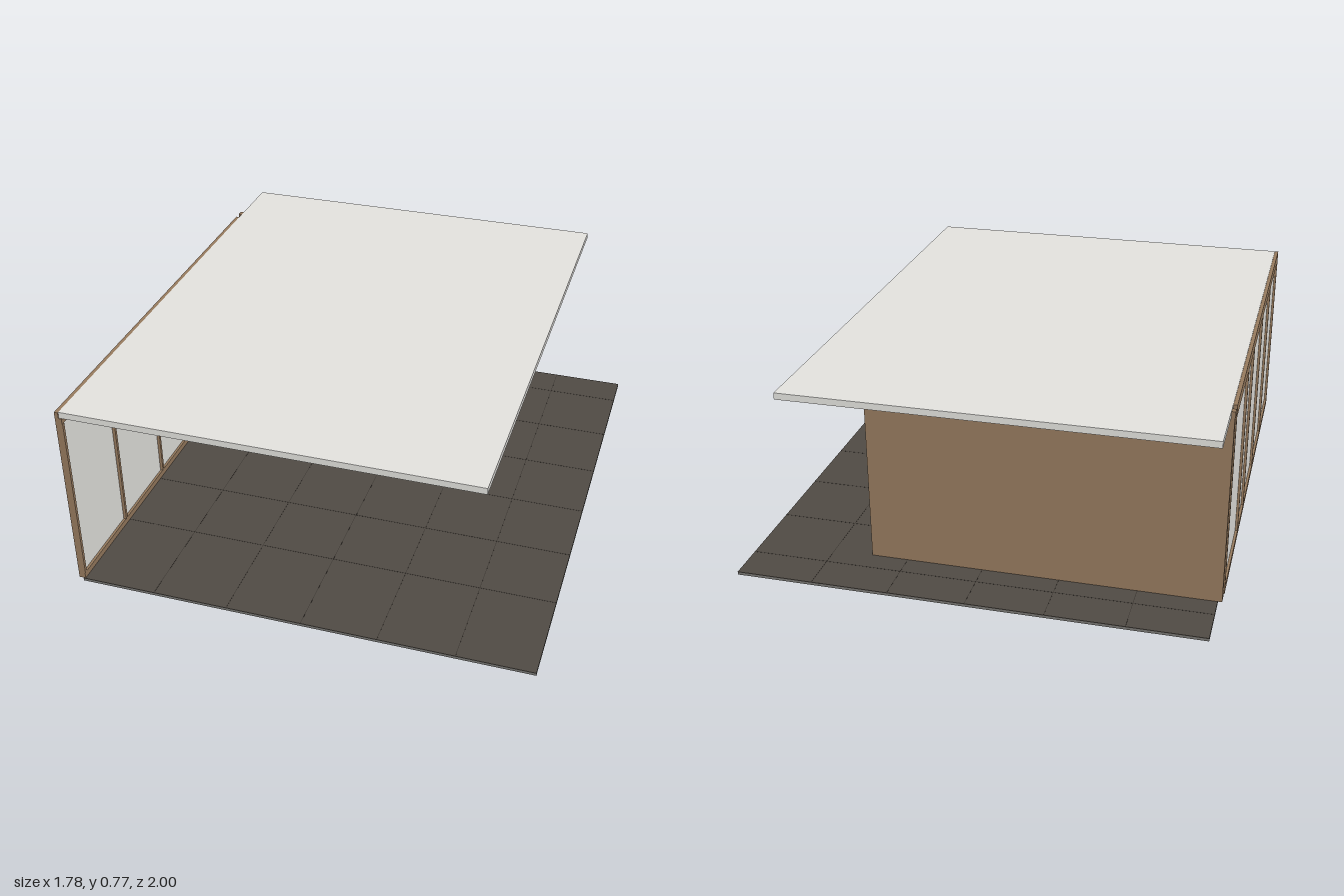
import * as THREE from 'three';

const material = (name, color, side = THREE.FrontSide) => {
  const m = new THREE.MeshStandardMaterial({ color, side });
  m.name = name;
  return m;
};

export function createModel() {
  const wood = material('wood', 0x977b5f);
  const plaster = material('pale plaster and frosted glass', 0xe5e4e0);
  const concrete = material('concrete', 0x787774);
  const tile = material('floor slate', 0x504b45);
  const stone = material('grey stone', 0x8f918b);
  const seam = material('dark seam', 0x3a342e);
  const black = material('black metal', 0x2b2b2b);
  const marble = material('white tile', 0xe6e4e4, THREE.DoubleSide);
  const grout = material('grout', 0x858588);
  const ceramic = material('ceramic', 0xf4f3f0, THREE.DoubleSide);

  const model = new THREE.Group();
  model.name = 'kitchenPavilion';

  const add = (parent, name, geometry, mat) => {
    const mesh = new THREE.Mesh(geometry, mat);
    mesh.name = name;
    parent.add(mesh);
    return mesh;
  };
  // Box given by its minimum and maximum on each axis
  const box = (name, mat, x0, x1, y0, y1, z0, z1, parent = model) => {
    const mesh = add(parent, name, new THREE.BoxGeometry(x1 - x0, y1 - y0, z1 - z0), mat);
    mesh.position.set((x0 + x1) / 2, (y0 + y1) / 2, (z0 + z1) / 2);
    return mesh;
  };
  // Round bar between two points
  const bar = (name, mat, a, b, radius, parent) => {
    const from = new THREE.Vector3(...a), to = new THREE.Vector3(...b);
    const dir = to.clone().sub(from);
    const mesh = add(parent, name, new THREE.CylinderGeometry(radius, radius, dir.length(), 8), mat);
    mesh.position.copy(from).add(to).multiplyScalar(0.5);
    mesh.quaternion.setFromUnitVectors(new THREE.Vector3(0, 1, 0), dir.normalize());
  };

  // Concrete slab, slate floor with tile joints, and roof slab
  box('slab', concrete, -0.87, 0.888, 0, 0.0095, -1, 1);
  box('floor', tile, -0.87, 0.888, 0.0095, 0.012, -1, 1);
  for (let i = 1; i < 6; i++) {
    const x = -0.87 + i * 0.293;
    box('floorJoint', seam, x - 0.001, x + 0.001, 0.0115, 0.0125, -0.999, 0.999);
  }
  for (let i = 0; i < 6; i++) {
    const z = 0.615 - i * 0.293;
    box('floorJoint', seam, -0.869, 0.887, 0.0115, 0.0125, z - 0.001, z + 0.001);
  }
  box('roof', plaster, -0.873, 0.678, 0.741, 0.766, -1, 0.995);

  // Glazed side wall: rails, mullions and panes
  const glazing = new THREE.Group();
  glazing.name = 'glazedWall';
  model.add(glazing);
  box('bottomRail', wood, -0.888, -0.862, 0.012, 0.036, -0.71, 0.998, glazing);
  box('topRail', wood, -0.888, -0.862, 0.718, 0.741, -0.71, 0.998, glazing);
  box('fascia', wood, -0.888, -0.8735, 0.741, 0.765, -0.71, 0.998, glazing);
  for (const z of [0.992, 0.64, 0.29, -0.067, -0.28, -0.704])
    box('mullion', wood, -0.888, -0.86, 0.036, 0.718, z - 0.006, z + 0.006, glazing);
  box('pane', plaster, -0.878, -0.872, 0.036, 0.718, -0.70, 0.99, glazing);

  // Back wall
  box('backWall', wood, -0.886, 0.443, 0.012, 0.741, -0.765, -0.73);
  box('wallEndCap', wood, -0.888, -0.8735, 0.741, 0.765, -0.765, -0.74);

  // Tall cabinets on the left of the wall
  box('tallCabinet', wood, -0.86, -0.348, 0.012, 0.741, -0.73, -0.585);
  for (const x of [-0.775, -0.6, -0.435, -0.352])
    box('doorSeam', seam, x - 0.0025, x + 0.0025, 0.025, 0.741, -0.586, -0.584);
  box('nicheSide', ceramic, -0.348, -0.346, 0.243, 0.507, -0.695, -0.586);

  // Upper cabinets
  box('upperCabinet', wood, -0.346, 0.397, 0.504, 0.741, -0.73, -0.583);
  box('underCabinetStrip', seam, -0.346, 0.397, 0.504, 0.509, -0.584, -0.582);
  for (const x of [-0.255, -0.165, 0.115])
    box('upperDoorSeam', seam, x - 0.0025, x + 0.0025, 0.509, 0.741, -0.584, -0.582);

  // Tiled backsplash with grout lines
  box('backsplash', marble, -0.346, 0.396, 0.24, 0.504, -0.73, -0.695);
  box('backsplashEnd', stone, 0.396, 0.397, 0.24, 0.504, -0.73, -0.695);
  for (const y of [0.31, 0.376, 0.446])
    box('groutRow', grout, -0.346, 0.396, y - 0.002, y + 0.002, -0.696, -0.694);
  for (const x of [-0.195, -0.071, -0.056, 0.1, 0.231, 0.242, 0.36])
    box('groutColumn', grout, x - 0.002, x + 0.002, 0.243, 0.504, -0.696, -0.694);

  // Base cabinets and worktop
  box('baseCabinet', wood, -0.346, 0.397, 0.02, 0.231, -0.73, -0.567);
  box('basePlinth', stone, -0.346, 0.392, 0.012, 0.02, -0.73, -0.575);
  for (const x of [-0.2, -0.05, 0.02, 0.09, 0.21])
    box('baseDoorSeam', seam, x - 0.002, x + 0.002, 0.03, 0.224, -0.568, -0.566);
  box('worktop', stone, -0.346, 0.352, 0.231, 0.243, -0.72, -0.54);
  box('worktopEnd', wood, 0.352, 0.397, 0.231, 0.242, -0.72, -0.567);

  // Island with stone top and end panel
  const island = new THREE.Group();
  island.name = 'island';
  model.add(island);
  box('islandBody', wood, -0.82, -0.067, 0.018, 0.231, -0.395, -0.146, island);
  box('islandPlinth', stone, -0.818, -0.067, 0.012, 0.018, -0.39, -0.149, island);
  box('islandTop', stone, -0.82, -0.055, 0.231, 0.238, -0.4, -0.143, island);
  box('islandEnd', stone, -0.067, -0.055, 0.012, 0.231, -0.4, -0.143, island);
  // Pale vein patches on the end panel: shape x is distance towards the back
  const patch = new THREE.Shape();
  patch.moveTo(0.175, 0.095);
  patch.bezierCurveTo(0.18, 0.13, 0.2, 0.13, 0.215, 0.145);
  patch.bezierCurveTo(0.24, 0.16, 0.24, 0.125, 0.262, 0.135);
  patch.bezierCurveTo(0.28, 0.13, 0.305, 0.125, 0.285, 0.112);
  patch.bezierCurveTo(0.25, 0.11, 0.22, 0.105, 0.21, 0.09);
  patch.bezierCurveTo(0.2, 0.085, 0.18, 0.085, 0.175, 0.095);
  const cornerPatch = new THREE.Shape();
  cornerPatch.moveTo(0.399, 0.03);
  cornerPatch.quadraticCurveTo(0.385, 0.04, 0.399, 0.055);
  const vein = add(island, 'stoneVeins', new THREE.ShapeGeometry([patch, cornerPatch], 6), marble);
  vein.rotation.y = Math.PI / 2;
  vein.position.x = -0.054;

  // Tray on the island
  box('tray', stone, -0.43, -0.315, 0.238, 0.243, -0.275, -0.205, island);
  box('trayBook', grout, -0.42, -0.345, 0.243, 0.249, -0.27, -0.22, island);

  // Bar stools
  for (const x of [-0.675, -0.342]) {
    const stool = new THREE.Group();
    stool.name = 'barStool';
    stool.position.set(x, 0, -0.07);
    model.add(stool);
    const seat = add(stool, 'seat', new THREE.CylinderGeometry(0.05, 0.047, 0.01, 24), black);
    seat.position.y = 0.176;
    const foot = 0.045, ring = 0.038;
    for (const sx of [-1, 1]) {
      for (const sz of [-1, 1])
        bar('leg', black, [sx * 0.024, 0.173, sz * 0.024], [sx * foot, 0.013, sz * foot], 0.0055, stool);
      bar('sideRung', black, [sx * ring, 0.07, -ring], [sx * ring, 0.07, ring], 0.0035, stool);
      bar('crossRung', black, [-ring, 0.07, sx * ring], [ring, 0.07, sx * ring], 0.0035, stool);
    }
  }

  // Vases with dry twigs; each twig is [tip x, tip height, tip z]
  const vaseProfile = [[0, 0], [0.011, 0], [0.016, 0.014], [0.015, 0.03], [0.007, 0.048], [0.006, 0.06], [0.009, 0.068]]
    .map(([r, y]) => new THREE.Vector2(r, y));
  const vase = (x, y, z, twigs) => {
    const group = new THREE.Group();
    group.name = 'vaseWithTwigs';
    group.position.set(x, y, z);
    model.add(group);
    add(group, 'vase', new THREE.LatheGeometry(vaseProfile, 20), ceramic);
    for (const [tx, ty, tz] of twigs) {
      const curve = new THREE.QuadraticBezierCurve3(
        new THREE.Vector3(0, 0.03, 0),
        new THREE.Vector3(tx * 0.2, ty * 0.65, tz * 0.3),
        new THREE.Vector3(tx, ty, tz));
      add(group, 'twig', new THREE.TubeGeometry(curve, 8, 0.001, 4), wood);
      for (let i = 0; i < 5; i++) {
        const bud = add(group, 'bud', new THREE.SphereGeometry(0.003, 6, 4), wood);
        bud.position.copy(curve.getPoint(0.6 + i * 0.1));
        bud.position.x += i % 2 ? 0.004 : -0.004;
      }
    }
  };
  vase(-0.58, 0.238, -0.335, [[-0.02, 0.18, 0.006], [0.01, 0.185, -0.008], [0.06, 0.16, 0.01], [0.095, 0.145, -0.006]]);
  vase(0.01, 0.243, -0.615, [[-0.035, 0.13, 0.006], [-0.01, 0.165, -0.008], [0.02, 0.155, 0.008], [0.045, 0.12, -0.006]]);

  // Chopping boards leaning on the backsplash
  const board = (x, z, w, h) => {
    const s = new THREE.Shape();
    const b = w / 2, n = 0.009;
    s.moveTo(-b, 0);
    s.lineTo(b, 0);
    s.lineTo(b, h * 0.58);
    s.quadraticCurveTo(b, h * 0.74, n, h * 0.78);
    s.lineTo(n, h * 0.95);
    s.quadraticCurveTo(0, h * 1.05, -n, h * 0.95);
    s.lineTo(-n, h * 0.78);
    s.quadraticCurveTo(-b, h * 0.74, -b, h * 0.58);
    const hole = new THREE.Path();
    hole.absarc(0, h * 0.91, 0.004, 0, Math.PI * 2, true);
    s.holes.push(hole);
    const mesh = add(model, 'choppingBoard',
      new THREE.ExtrudeGeometry(s, { depth: 0.008, bevelEnabled: false, curveSegments: 8 }), wood);
    mesh.position.set(x, 0.244, z);
    mesh.rotation.x = -0.15;
  };
  board(-0.045, -0.678, 0.075, 0.13);
  board(-0.088, -0.662, 0.062, 0.1);

  return model;
}
